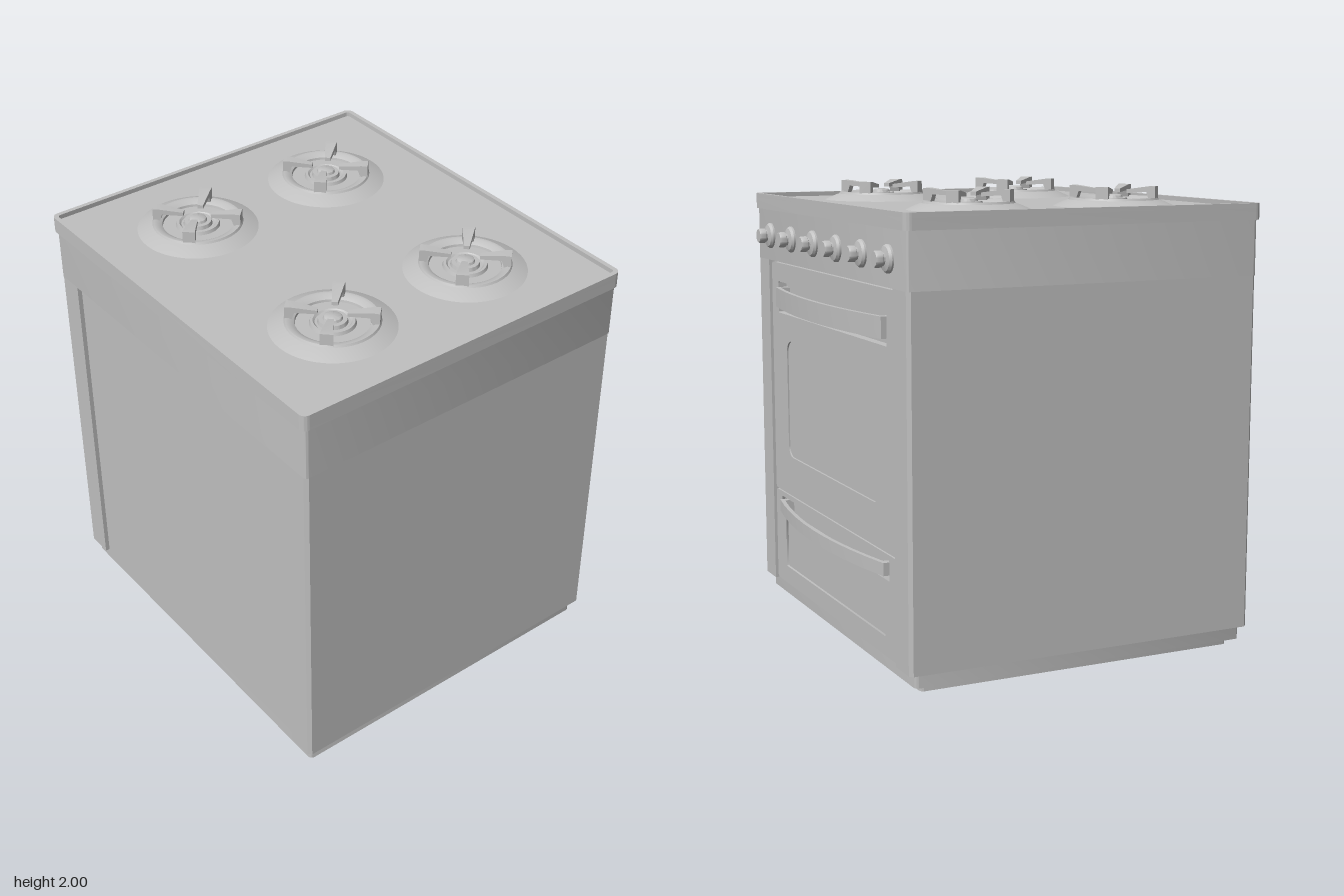
import * as THREE from 'three';
import { toCreasedNormals } from 'three/addons/utils/BufferGeometryUtils.js';

const enamel = new THREE.MeshStandardMaterial({ color: 0xc0c0c0 });
enamel.name = 'grey enamel';

export function createModel() {
  const model = new THREE.Group();
  model.name = 'cooker';

  function add(name, geometry, parent = model) {
    const mesh = new THREE.Mesh(toCreasedNormals(geometry, 0.6), enamel);
    mesh.name = name;
    parent.add(mesh);
    return mesh;
  }

  // Rounded rectangle between two corners
  function rect(x0, y0, x1, y1, r, T = THREE.Shape) {
    const s = new T();
    s.moveTo(x0 + r, y0);
    s.lineTo(x1 - r, y0);
    s.absarc(x1 - r, y0 + r, r, -Math.PI / 2, 0, false);
    s.lineTo(x1, y1 - r);
    s.absarc(x1 - r, y1 - r, r, 0, Math.PI / 2, false);
    s.lineTo(x0 + r, y1);
    s.absarc(x0 + r, y1 - r, r, Math.PI / 2, Math.PI, false);
    s.lineTo(x0, y0 + r);
    s.absarc(x0 + r, y0 + r, r, Math.PI, Math.PI * 1.5, false);
    return s;
  }
  const extrude = (shape, depth) =>
    new THREE.ExtrudeGeometry(shape, { depth, bevelEnabled: false, curveSegments: 10 });
  // Plan outline (x, z) raised from y0 to y1
  const slab = (name, shape, y0, y1) =>
    add(name, extrude(shape, y1 - y0).rotateX(-Math.PI / 2).translate(0, y0, 0));
  // Upright panel (z, y) on the door side, from x0 to x1
  const panel = (name, shape, x0, x1) =>
    add(name, extrude(shape, x1 - x0).rotateY(Math.PI / 2).translate(x0, 0, 0));

  // Plinth
  slab('foot', rect(-0.77, -0.835, 0.695, 0.835, 0.02), 0, 0.03);
  slab('plinth', rect(-0.81, -0.875, 0.735, 0.875, 0.02), 0.03, 0.09);

  // Cabinet, recessed for the doors and for the rear panel
  const X0 = -0.835, X1 = 0.768, Z = 0.9, c = 0.015;
  const outline = [
    [X0 + c, -Z], [X1 - c, -Z], [X1, -Z + c], [X1, -0.755], [0.718, -0.755],
    [0.718, 0.755], [X1, 0.755], [X1, Z - c], [X1 - c, Z], [X0 + c, Z],
    [X0, Z - c], [X0, 0.77], [X0 + 0.02, 0.77], [X0 + 0.02, -0.77], [X0, -0.77], [X0, -Z + c],
  ].map(([x, z]) => new THREE.Vector2(x, z));
  slab('cabinet', new THREE.Shape(outline), 0.09, 1.63);
  slab('controlPanel', rect(X0, -Z, X1, Z, c), 1.63, 1.87);

  // Cooktop with raised lip
  slab('cooktop', rect(-0.85, -0.91, 0.78, 0.91, 0.03), 1.865, 1.915);
  const lip = rect(-0.85, -0.91, 0.78, 0.91, 0.03);
  lip.holes.push(rect(-0.83, -0.89, 0.76, 0.89, 0.015, THREE.Path));
  slab('cooktopLip', lip, 1.915, 1.935);

  // Oven door with handle pocket and inset window
  const door = rect(-0.748, 0.541, 0.748, 1.622, 0.02);
  door.holes.push(rect(-0.66, 1.39, 0.66, 1.535, 0.005, THREE.Path));
  door.holes.push(rect(-0.555, 0.725, 0.555, 1.27, 0.055, THREE.Path));
  panel('ovenDoor', door, 0.715, 0.757);
  panel('ovenWindow', rect(-0.553, 0.727, 0.553, 1.268, 0.054), 0.715, 0.751);

  // Lower drawer with handle pocket and inset face
  const drawer = rect(-0.748, 0.097, 0.748, 0.535, 0.02);
  drawer.holes.push(rect(-0.665, 0.425, 0.665, 0.512, 0.005, THREE.Path));
  drawer.holes.push(rect(-0.615, 0.18, 0.615, 0.41, 0.005, THREE.Path));
  panel('drawer', drawer, 0.715, 0.757);
  panel('drawerInset', rect(-0.614, 0.181, 0.614, 0.409, 0.004), 0.715, 0.747);

  // Bowed handles
  function handle(name, y0, y1, bow) {
    const s = new THREE.Shape();
    s.moveTo(0.715, -0.645);
    s.lineTo(0.775, -0.645);
    s.quadraticCurveTo(0.775 + bow, 0, 0.775, 0.645);
    s.lineTo(0.715, 0.645);
    s.lineTo(0.715, 0.61);
    s.lineTo(0.762, 0.61);
    s.quadraticCurveTo(0.752 + bow, 0, 0.762, -0.61);
    s.lineTo(0.715, -0.61);
    slab(name, s, y0, y1);
  }
  handle('ovenHandle', 1.42, 1.51, 0.115);
  handle('drawerHandle', 0.445, 0.5, 0.135);

  const lathe = (points, segments = 40) =>
    new THREE.LatheGeometry(points.map(([r, y]) => new THREE.Vector2(r, y)), segments);

  // Control knobs
  const knobProfile = [[0.058, 0], [0.058, 0.008], [0.05, 0.018], [0.027, 0.024],
    [0.027, 0.03], [0.034, 0.034], [0.034, 0.056], [0.03, 0.063], [0, 0.063]];
  for (let i = 0; i < 6; i++) {
    add('knob', lathe(knobProfile, 28).rotateZ(-Math.PI / 2))
      .position.set(X1, 1.745, (i - 2.5) * 0.286);
  }

  // Burner: raised dish, ring, stepped core and cap
  const burnerProfile = [[0.26, 0], [0.225, 0.016], [0.195, 0.027], [0.19, 0.036],
    [0.175, 0.036], [0.152, 0.022], [0.15, 0.012], [0.095, 0.012], [0.09, 0.026],
    [0.08, 0.026], [0.072, 0.018], [0.062, 0.018], [0.058, 0.034], [0.04, 0.034],
    [0.036, 0.044], [0.03, 0.048], [0, 0.048]];

  // Grate arm: side profile, widening outwards
  function armGeometry() {
    const s = new THREE.Shape([[0.19, 0.03], [0.19, 0.085], [0.165, 0.085], [0.06, 0.07],
      [0.06, 0.054], [0.15, 0.06], [0.16, 0.03]].map(([x, y]) => new THREE.Vector2(x, y)));
    const g = extrude(s, 1).translate(0, 0, -0.5);
    const p = g.attributes.position;
    for (let i = 0; i < p.count; i++) p.setZ(i, p.getZ(i) * (0.012 + 0.22 * p.getX(i)));
    g.computeVertexNormals();
    return g;
  }

  for (const x of [-0.38, 0.31]) {
    for (const z of [-0.475, 0.475]) {
      const burner = new THREE.Group();
      burner.name = 'burner';
      burner.position.set(x, 1.915, z);
      model.add(burner);
      add('burnerDish', lathe(burnerProfile, 48), burner);
      for (let k = 0; k < 4; k++) {
        add('grateArm', armGeometry(), burner).rotation.y = Math.PI / 4 + k * Math.PI / 2;
      }
    }
  }
  return model;
}
